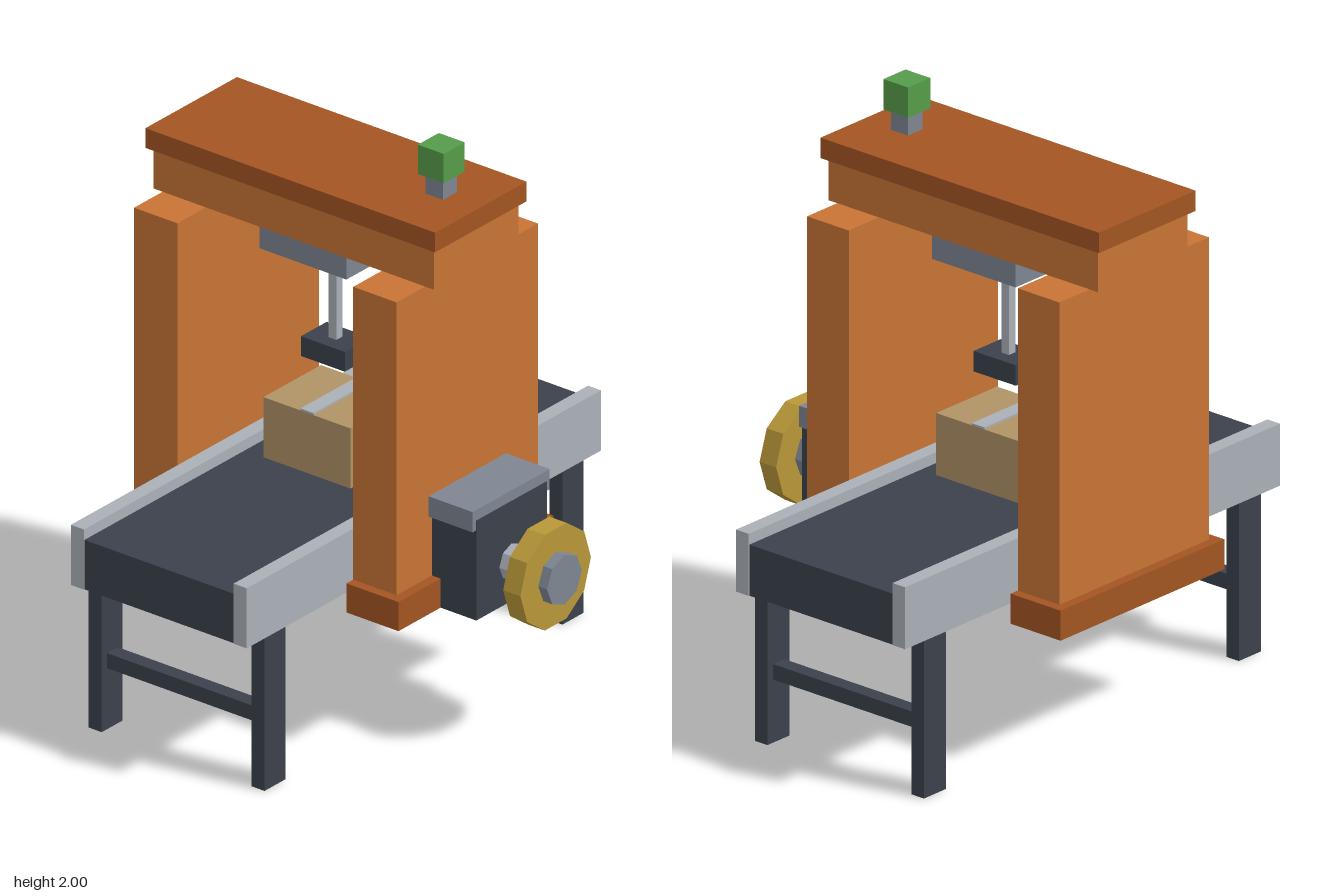
import * as THREE from 'three';

const mat = (name, color) => {
  const m = new THREE.MeshStandardMaterial({ color });
  m.name = name;
  return m;
};

export function createModel() {
  const orange = mat('orange paint', 0xc87435);
  const rust = mat('dark orange paint', 0xa35522);
  const dark = mat('dark rubber', 0x3b414b);
  const grey = mat('mid grey metal', 0x7e8692);
  const light = mat('light grey metal', 0xabb0b8);
  const gold = mat('gold', 0xb99838);
  const green = mat('green lamp', 0x569c4a);
  const tan = mat('cardboard', 0xb09366);

  const model = new THREE.Group();
  model.name = 'pressConveyor';

  // Box given by its limits on x, y and z
  const box = (name, m, x0, x1, y0, y1, z0, z1) => {
    const mesh = new THREE.Mesh(new THREE.BoxGeometry(x1 - x0, y1 - y0, z1 - z0), m);
    mesh.position.set((x0 + x1) / 2, (y0 + y1) / 2, (z0 + z1) / 2);
    mesh.name = name;
    model.add(mesh);
  };

  // Faceted cylinder lying along x, with a corner pointing up
  const axle = (name, m, r, x0, x1, sides) => {
    const geo = new THREE.CylinderGeometry(r, r, x1 - x0, sides).rotateZ(-Math.PI / 2);
    geo.rotateX(Math.PI / 2);
    if (sides % 4) geo.rotateX(Math.PI / 2);
    const flat = geo.toNonIndexed();
    flat.computeVertexNormals();
    const mesh = new THREE.Mesh(flat, m);
    mesh.position.set((x0 + x1) / 2, 0.612, 0);
    mesh.name = name;
    model.add(mesh);
  };

  // Conveyor
  const cx = -0.172;
  box('belt', dark, -0.478, 0.132, 0.54, 0.715, -0.892, 0.892);
  for (const s of [-1, 1]) {
    const span = (a, b) => (s > 0 ? [cx + a, cx + b] : [cx - b, cx - a]);
    box('sideRail', light, ...span(0.304, 0.357), 0.54, 0.753, -0.895, 0.895);
    for (const z of [-0.752, 0.752]) {
      box('leg', dark, ...span(0.304, 0.357), 0, 0.54, z - 0.053, z + 0.053);
    }

    // Gate columns and their feet
    box('column', orange, ...span(0.357, 0.533), 0.57, 1.61, -0.357, 0.357);
    box('columnFoot', rust, ...span(0.357, 0.568), 0.47, 0.573, -0.391, 0.391);
  }
  for (const z of [-0.752, 0.752]) {
    box('crossbar', dark, -0.478, 0.132, 0.217, 0.27, z - 0.027, z + 0.027);
  }

  // Gate top with lamp
  box('beam', orange, -0.741, 0.397, 1.61, 1.755, -0.213, 0.213);
  box('roofCap', rust, -0.76, 0.416, 1.755, 1.825, -0.231, 0.231);
  box('lampPost', grey, 0.22, 0.291, 1.825, 1.896, -0.035, 0.035);
  box('lamp', green, 0.203, 0.308, 1.896, 2, -0.053, 0.053);

  // Press hanging under the beam
  box('pressMount', grey, -0.35, 0.003, 1.503, 1.61, -0.165, 0.165);
  box('pressRod', light, -0.19, -0.158, 1.18, 1.503, -0.016, 0.016);
  box('pressHead', dark, -0.262, -0.084, 1.11, 1.18, -0.065, 0.065);

  // Parcel with a strip of tape
  box('parcel', tan, -0.35, 0.003, 0.755, 0.968, -0.145, 0.145);
  box('parcelTape', light, -0.2, -0.147, 0.968, 0.975, -0.145, 0.145);

  // Motor and hand wheel
  box('motor', dark, 0.361, 0.541, 0.47, 0.823, -0.178, 0.178);
  box('motorLid', grey, 0.361, 0.539, 0.788, 0.86, -0.195, 0.195);
  axle('wheelShaft', light, 0.062, 0.54, 0.63, 8);
  axle('wheelHub', grey, 0.088, 0.616, 0.756, 8);
  axle('wheel', gold, 0.178, 0.65, 0.72, 10);

  return model;
}
